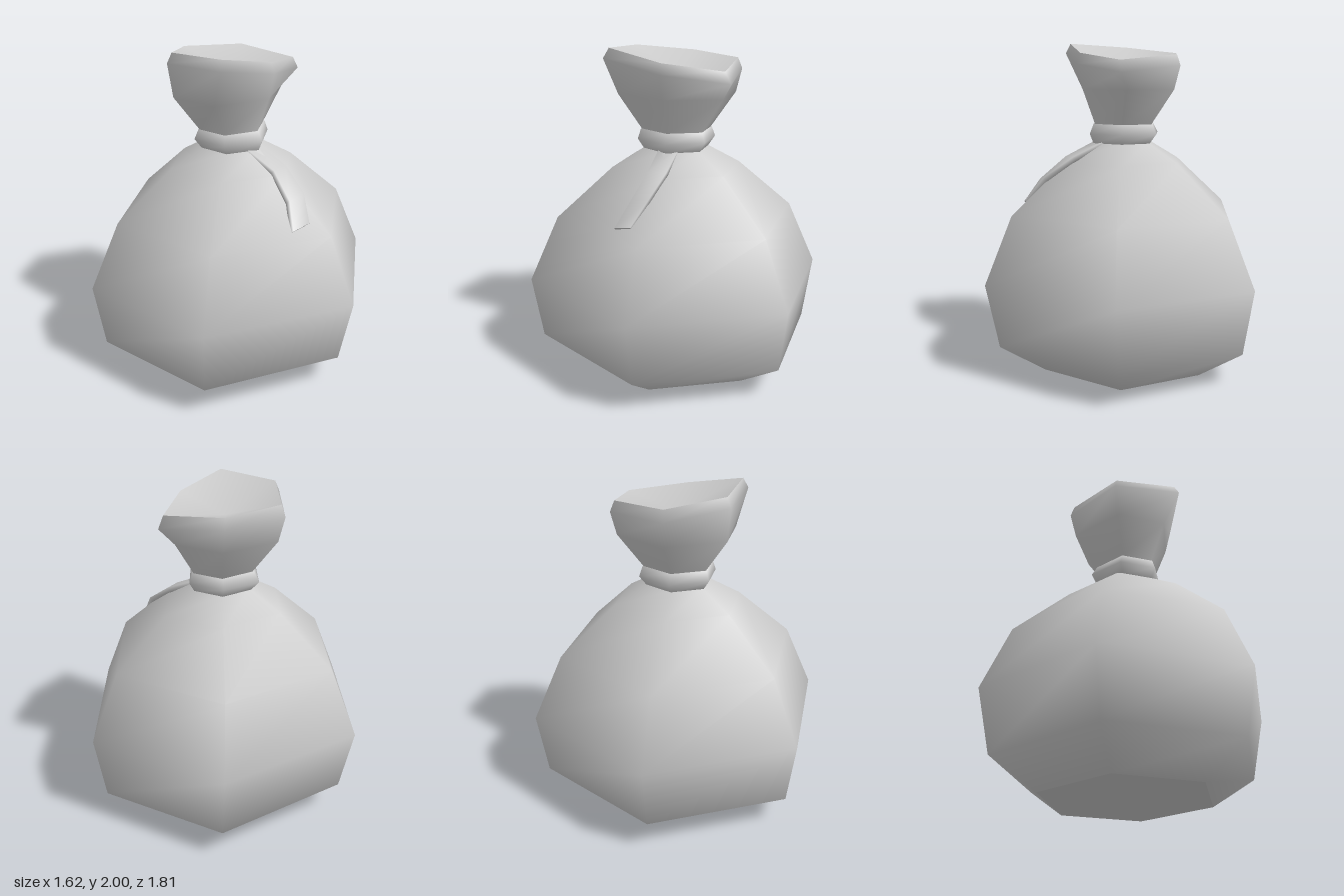
import * as THREE from 'three';

const material = new THREE.MeshStandardMaterial({ color: 0xcccccc, side: THREE.DoubleSide });

// Six corners, running front, right front, right back, back, left back, left front
function hexRing(y, x, front, back = front) {
  return [
    [0, y, front], [x, y, front * 0.49], [x, y, -back * 0.49],
    [0, y, -back], [-x, y, -back * 0.49], [-x, y, front * 0.49],
  ];
}

// Skin over closed rings, listed from bottom to top; smooth sides, creased end caps.
// A cap is the height of the middle point that closes the ring.
function loft(name, rings, { bottom = null, top = null } = {}) {
  const n = rings[0].length;
  const points = rings.flat();
  const index = [];
  for (let r = 0; r < rings.length - 1; r++) {
    for (let i = 0; i < n; i++) {
      const a = r * n + i, b = r * n + (i + 1) % n;
      index.push(a, b, b + n, a, b + n, a + n);
    }
  }
  const cap = (ring, y, up) => {
    const start = points.length;
    const mid = [0, 1, 2].map((k) => ring.reduce((s, p) => s + p[k], 0) / n);
    mid[1] = y;
    points.push(...ring, mid);
    for (let i = 0; i < n; i++) {
      const a = start + i, b = start + (i + 1) % n;
      index.push(...(up ? [a, b] : [b, a]), start + n);
    }
  };
  if (bottom !== null) cap(rings[0], bottom, false);
  if (top !== null) cap(rings[rings.length - 1], top, true);

  const geometry = new THREE.BufferGeometry();
  geometry.setAttribute('position', new THREE.Float32BufferAttribute(points.flat(), 3));
  geometry.setIndex(index);
  geometry.computeVertexNormals();
  const mesh = new THREE.Mesh(geometry, material);
  mesh.name = name;
  return mesh;
}

export function createModel() {
  const group = new THREE.Group();
  group.name = 'tiedSack';

  // Full, sagging lower bag
  group.add(loft('sackBody', [
    hexRing(0, 0.505, 0.54),
    hexRing(0.19, 0.76, 0.825),
    hexRing(0.58, 0.81, 0.907),
    hexRing(0.98, 0.65, 0.735),
    hexRing(1.28, 0.35, 0.39),
    hexRing(1.4, 0.165, 0.19, 0.18),
  ], { bottom: 0 }));

  // Flared, slanted mouth with a rolled rim and a sunken opening
  group.add(loft('sackMouth', [
    hexRing(1.44, 0.165, 0.18),
    hexRing(1.51, 0.19, 0.19, 0.2),
    hexRing(1.72, 0.325, 0.27, 0.36),
    [[0, 1.87, 0.305], [0.39, 1.82, 0.2], [0.355, 1.86, -0.2],
      [0, 1.87, -0.4], [-0.345, 1.92, -0.2], [-0.38, 1.94, 0.22]],
    [[0, 1.935, 0.285], [0.35, 1.89, 0.19], [0.33, 1.925, -0.19],
      [0, 1.94, -0.375], [-0.32, 1.98, -0.185], [-0.35, 2, 0.2]],
  ], { top: 1.83 }));

  // Cord wound around the neck
  group.add(loft('neckTie', [
    hexRing(1.39, 0.165, 0.19, 0.18),
    hexRing(1.39, 0.175, 0.2, 0.19),
    hexRing(1.45, 0.212, 0.225, 0.245),
    hexRing(1.51, 0.195, 0.2, 0.21),
    hexRing(1.51, 0.16, 0.17, 0.18),
  ]));

  // Loose cord end lying over the front: each row is left edge then right edge
  const strap = [
    [[-0.06, 1.4, 0.17], [0.06, 1.4, 0.17]],
    [[-0.06, 1.315, 0.36], [0.055, 1.32, 0.36]],
    [[-0.11, 1.18, 0.51], [0.005, 1.2, 0.53]],
    [[-0.18, 1.035, 0.59], [-0.07, 1.06, 0.625]],
  ].map(([l, r]) => [
    l, r, [r[0], r[1] - 0.025, r[2] - 0.025], [l[0], l[1] - 0.025, l[2] - 0.025],
  ]);
  strap.reverse();
  group.add(loft('looseCordEnd', strap, { bottom: 1.035, top: 1.39 }));

  return group;
}
